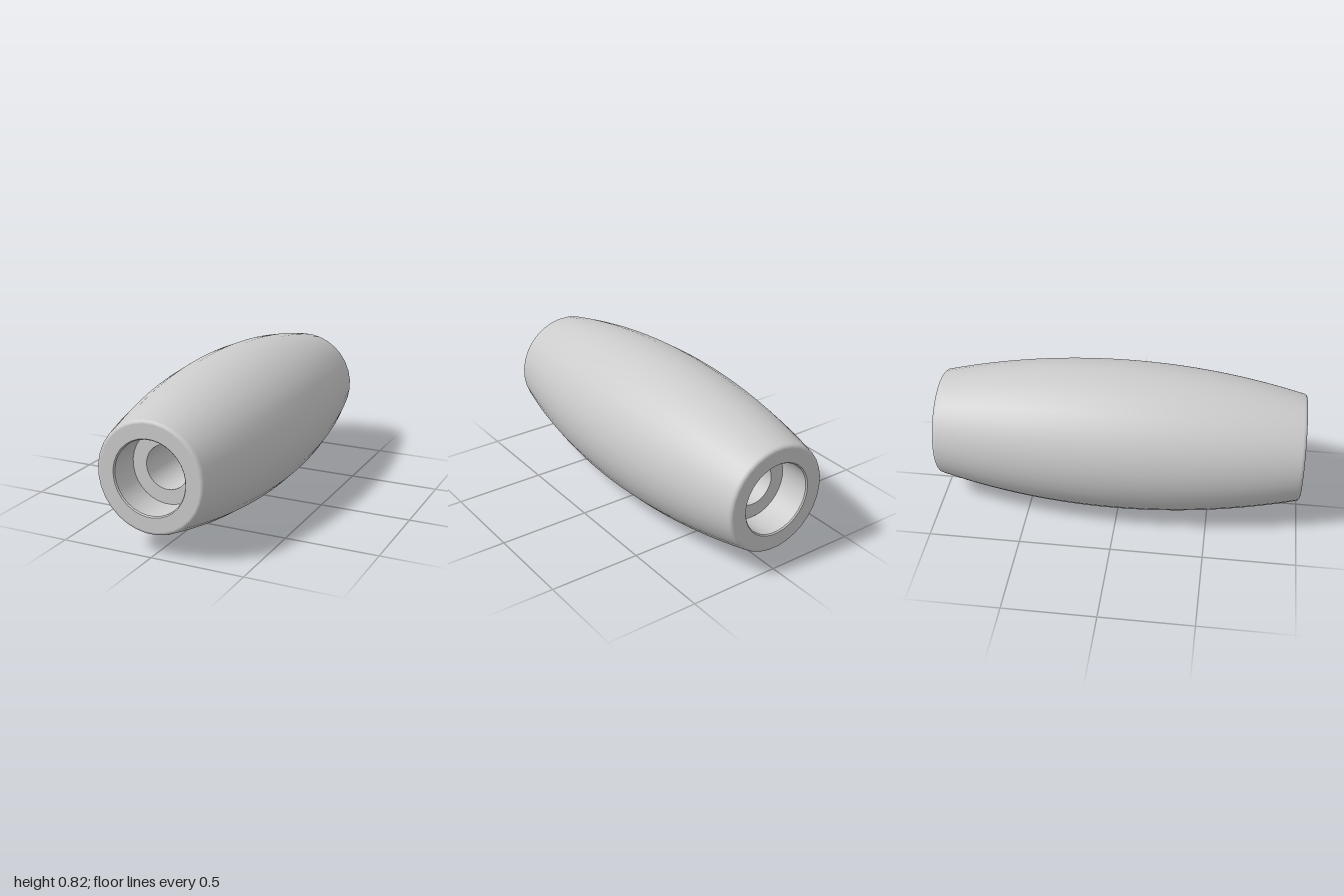
import * as THREE from 'three';

const MID_R = 0.413, END_R = 0.295, FILLET = 0.02;
const BORE_R = 0.117, COUNTER_R = 0.194, FLOOR_Z = 0.82;

export function createModel() {
  const group = new THREE.Group();
  group.name = 'barrelRoller';
  const material = new THREE.MeshStandardMaterial({ color: 0xcccccc });

  // Turned surface about the z axis; profile points are [radius, z]
  const turn = (name, points, sides, parent) => {
    const geo = new THREE.LatheGeometry(
      points.map(([r, z]) => new THREE.Vector2(r, z)), sides, Math.PI / sides);
    geo.rotateX(Math.PI / 2);
    const mesh = new THREE.Mesh(geo, material);
    mesh.name = name;
    parent.add(mesh);
  };

  // Bulged outer wall: a shallow circular arc with a small fillet at each end
  const zEnd = 1 - FILLET;
  const sag = MID_R - END_R;
  const arcR = (zEnd * zEnd + sag * sag) / (2 * sag);
  const wall = [];
  for (let i = -16; i <= 16; i++) {
    const z = (i / 16) * zEnd;
    wall.push([MID_R - arcR + Math.sqrt(arcR * arcR - z * z), z]);
  }
  const tilt = Math.asin(zEnd / arcR);
  for (let i = 1; i <= 5; i++) {
    const a = tilt + (Math.PI / 2 - tilt) * (i / 5);
    const r = END_R - FILLET * (Math.cos(tilt) - Math.cos(a));
    const z = zEnd + FILLET * (Math.sin(a) - Math.sin(tilt)) / (1 - Math.sin(tilt));
    wall.push([r, z]);
    wall.unshift([r, -z]);
  }
  turn('outerWall', wall, 32, group);

  // Each end: flat rim, chamfer, counterbore wall and its floor
  const faceR = wall[wall.length - 1][0];
  const lip = 0.2, lipZ = 0.993;
  for (const [name, angle] of [['frontEnd', 0], ['backEnd', Math.PI]]) {
    const end = new THREE.Group();
    end.name = name;
    turn('rim', [[faceR, 1], [lip, 1]], 32, end);
    turn('chamfer', [[lip, 1], [COUNTER_R, lipZ]], 32, end);
    turn('counterbore', [[COUNTER_R, lipZ], [COUNTER_R, FLOOR_Z]], 32, end);
    turn('counterboreFloor', [[COUNTER_R, FLOOR_Z], [BORE_R, FLOOR_Z]], 48, end);
    end.rotation.y = angle;
    group.add(end);
  }

  // Through hole
  turn('bore', [[BORE_R, FLOOR_Z], [BORE_R, -FLOOR_Z]], 48, group);

  group.position.y = 0.412;
  return group;
}
